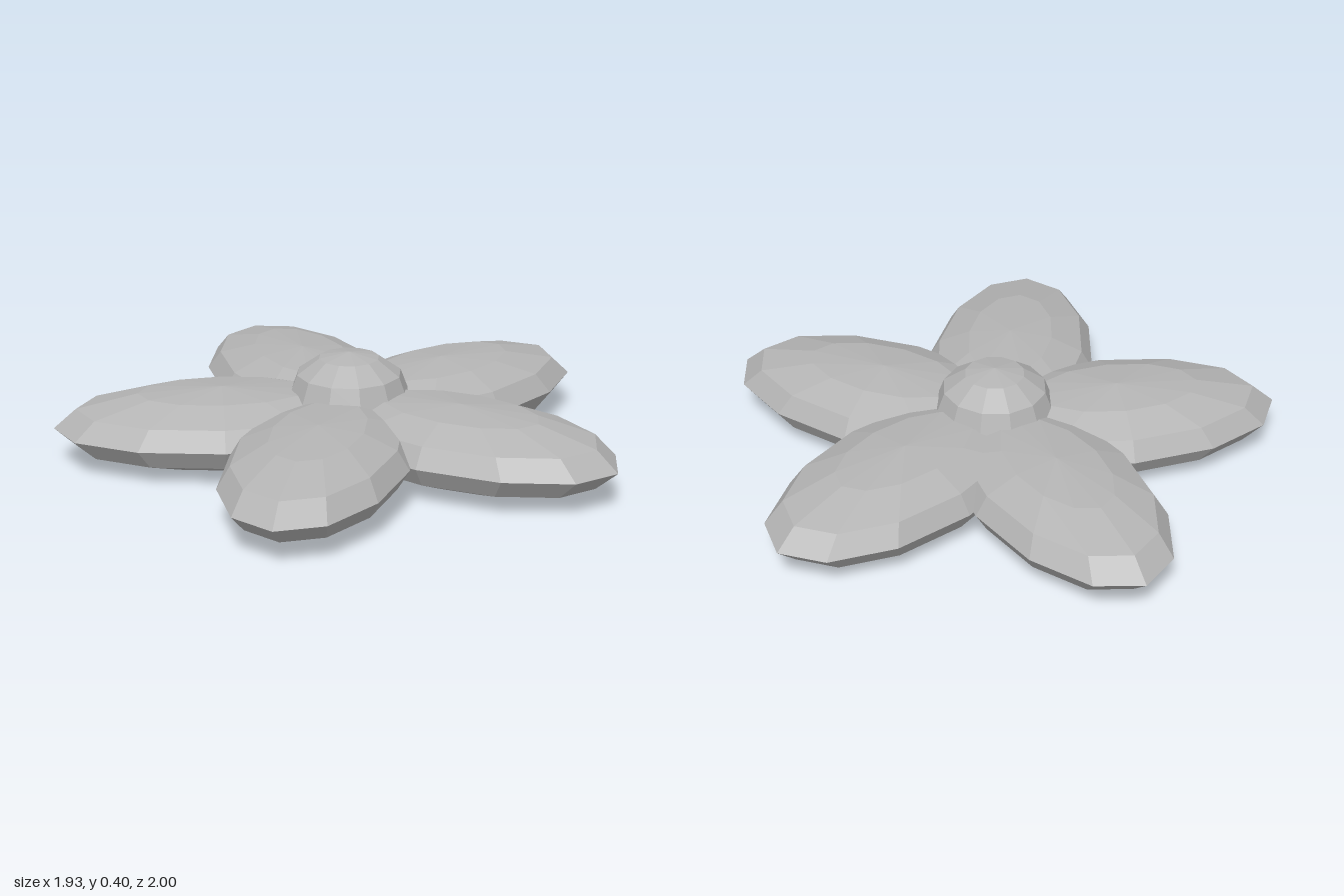
import * as THREE from 'three';

const PETALS = 5;
const CENTRE_X = -0.092;

// Low-poly faceted ellipsoid with its poles on the y axis
function ellipsoid(rx, ry, rz) {
  return new THREE.SphereGeometry(1, 12, 6).scale(rx, ry, rz);
}

export function createModel() {
  const grey = new THREE.MeshStandardMaterial({ color: 0xb4b4b4, flatShading: true });
  grey.name = 'stone grey';

  const flower = new THREE.Group();
  flower.name = 'flower';

  // Five flattened petals spread evenly round the centre
  const petalGeometry = ellipsoid(0.6, 0.14, 0.315).translate(0.4515, 0, 0);
  for (let i = 0; i < PETALS; i++) {
    const petal = new THREE.Mesh(petalGeometry, grey);
    petal.name = `petal${i + 1}`;
    petal.position.set(CENTRE_X, 0.14, 0);
    petal.rotation.y = (i / PETALS) * Math.PI * 2;
    flower.add(petal);
  }

  // Raised dome in the middle
  const dome = new THREE.Mesh(ellipsoid(0.217, 0.155, 0.217), grey);
  dome.name = 'centreDome';
  dome.position.set(CENTRE_X, 0.24, 0);
  flower.add(dome);

  return flower;
}
